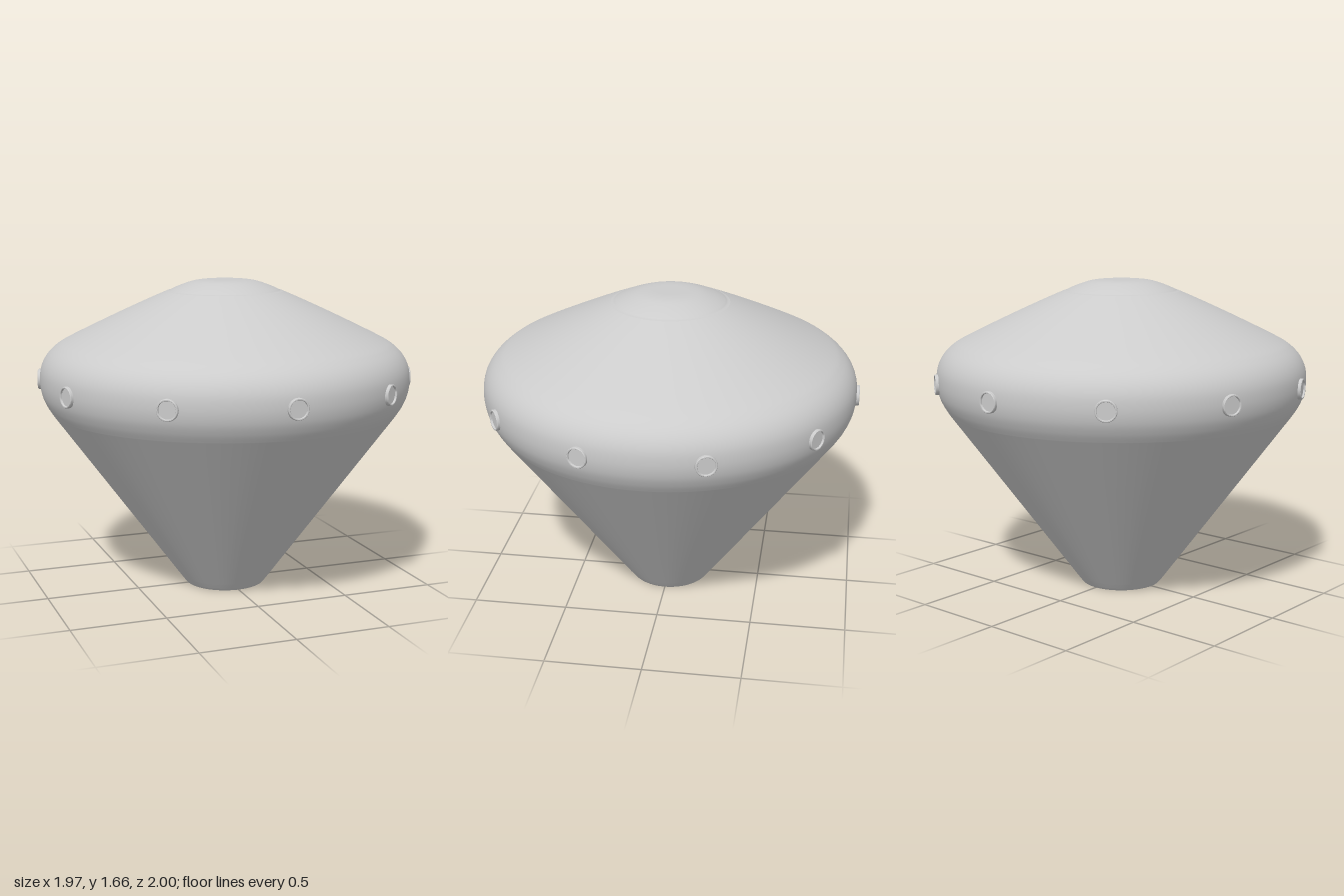
import * as THREE from 'three';
import { toCreasedNormals } from 'three/addons/utils/BufferGeometryUtils.js';

const SEGMENTS = 96;
const material = new THREE.MeshStandardMaterial({ color: 0xcccccc });
const vectors = (pairs) => pairs.map(([r, y]) => new THREE.Vector2(r, y));

function addMesh(parent, name, geometry) {
  const mesh = new THREE.Mesh(geometry, material);
  mesh.name = name;
  parent.add(mesh);
  return mesh;
}

export function createModel() {
  const model = new THREE.Group();
  model.name = 'conicalPod';

  // Smooth shell: inverted cone, rounded shoulder and sloping roof
  const shell = new THREE.Path();
  shell.moveTo(0.225, 0.012);
  shell.quadraticCurveTo(0.235, 0.025, 0.25, 0.045);
  shell.lineTo(0.925, 0.965);
  shell.splineThru(vectors([
    [0.953, 1.01], [0.976, 1.065], [0.986, 1.13], [0.98, 1.2],
    [0.953, 1.26], [0.905, 1.31], [0.83, 1.355], [0.6, 1.467],
    [0.42, 1.55], [0.31, 1.598],
  ]));
  const shellPoints = shell.getPoints(6).filter((p, i, all) => i === 0 || p.distanceTo(all[i - 1]) > 1e-4);
  addMesh(model, 'shell', new THREE.LatheGeometry(shellPoints, SEGMENTS));

  // Shallow domed cap with a soft step around its edge
  const cap = new THREE.SplineCurve(vectors([
    [0.31, 1.598], [0.295, 1.602], [0.28, 1.61], [0.235, 1.629],
    [0.17, 1.65], [0.11, 1.658], [0.05, 1.659], [0, 1.659],
  ]));
  addMesh(model, 'topCap', new THREE.LatheGeometry(cap.getPoints(28), SEGMENTS));

  // Stepped socket in the underside
  const socket = vectors([
    [0, 0.1], [0.163, 0.1], [0.163, 0.074], [0.176, 0.07],
    [0.176, 0.044], [0.188, 0.04], [0.188, 0.014], [0.2, 0.01],
    [0.203, 0], [0.215, 0], [0.225, 0.012],
  ]);
  addMesh(model, 'bottomSocket', toCreasedNormals(new THREE.LatheGeometry(socket, SEGMENTS), 0.5));

  // Ten portholes around the shoulder, the first facing front
  const rim = vectors([
    [0.044, 0.95], [0.054, 0.95], [0.054, 0.996], [0.051, 1.0],
    [0.046, 1.0], [0.044, 0.997], [0.044, 0.95],
  ]);
  const rimGeometry = toCreasedNormals(new THREE.LatheGeometry(rim, 32), 0.6).rotateX(Math.PI / 2);
  const paneGeometry = new THREE.CircleGeometry(0.045, 32).translate(0, 0, 0.99);
  for (let i = 0; i < 10; i++) {
    const porthole = new THREE.Group();
    porthole.name = `porthole${i + 1}`;
    addMesh(porthole, 'portholeRim', rimGeometry);
    addMesh(porthole, 'portholePane', paneGeometry);
    porthole.position.y = 1.13;
    porthole.rotation.y = (i * Math.PI) / 5;
    model.add(porthole);
  }
  return model;
}
